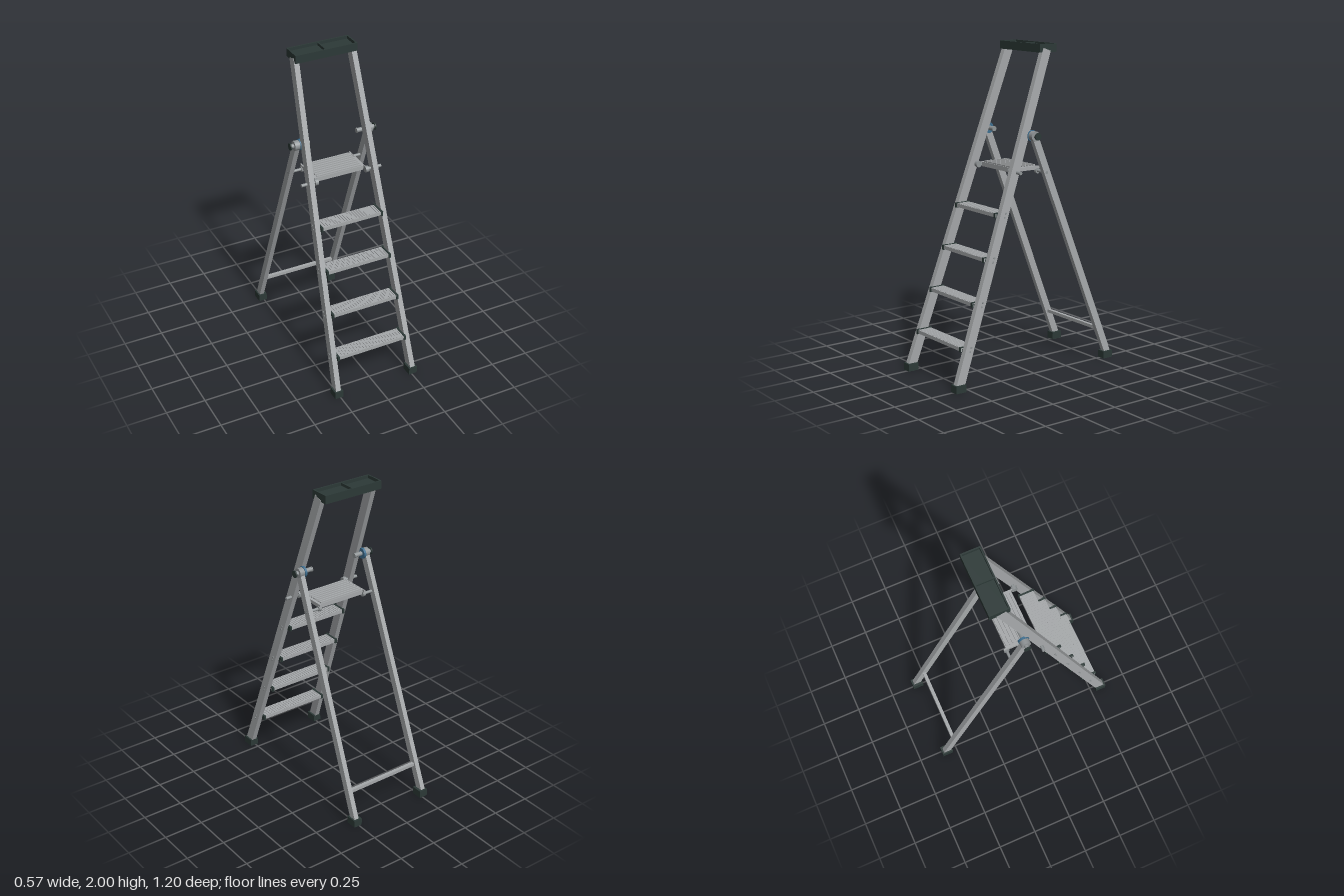
import * as THREE from 'three';

const mat = (name, color) => {
  const m = new THREE.MeshStandardMaterial({ color });
  m.name = name;
  return m;
};

export function createModel() {
  const root = new THREE.Group();
  root.name = 'stepLadder';
  const aluminium = mat('aluminium', 0xa6a9ab);
  const plastic = mat('darkPlastic', 0x2c3937);
  const blue = mat('blueWasher', 0x3f6f90);
  const steel = mat('steel', 0x8f9496);

  const add = (name, geo, m, x = 0, y = 0, z = 0, parent = root) => {
    const mesh = new THREE.Mesh(geo, m);
    mesh.name = name;
    mesh.position.set(x, y, z);
    parent.add(mesh);
    return mesh;
  };
  const box = (name, w, h, d, m, x, y, z, parent) =>
    add(name, new THREE.BoxGeometry(w, h, d), m, x, y, z, parent);

  // Cylinder lying along x between x0 and x1
  const rod = (name, x0, x1, y, z, r, m, parent) => {
    const geo = new THREE.CylinderGeometry(r, r, Math.abs(x1 - x0), 20);
    geo.rotateZ(Math.PI / 2);
    return add(name, geo, m, (x0 + x1) / 2, y, z, parent);
  };

  // Rectangular tube from a to b, its width kept along x
  const beam = (name, a, b, w, d, m) => {
    const A = new THREE.Vector3(...a), B = new THREE.Vector3(...b);
    const up = B.clone().sub(A);
    const mesh = box(name, w, up.length(), d, m, 0, 0, 0);
    up.normalize();
    const zAxis = new THREE.Vector3(1, 0, 0).cross(up).normalize();
    const xAxis = up.clone().cross(zAxis);
    mesh.quaternion.setFromRotationMatrix(new THREE.Matrix4().makeBasis(xAxis, up, zAxis));
    mesh.position.copy(A).add(B).multiplyScalar(0.5);
    return mesh;
  };

  // Centre line of the front rails
  const railX = y => 0.261 - 0.0385 * y;
  const railZ = y => 0.576 - 0.3575 * y;

  for (const s of [1, -1]) {
    const side = s > 0 ? 'left' : 'right';

    // Rails, rear legs and feet
    beam(side + 'FrontRail', [s * railX(0.025), 0.025, railZ(0.025)],
      [s * railX(1.967), 1.967, railZ(1.967)], 0.033, 0.058, aluminium);
    beam(side + 'RearLeg', [s * 0.262, 0.025, -0.573], [s * 0.241, 1.475, 0.005], 0.03, 0.045, aluminium);
    for (const z of [0.565, -0.565])
      box(side + 'Foot', 0.055, 0.046, 0.07, plastic, s * 0.2585, 0.023, z);

    // Hinge
    const hinge = new THREE.Group();
    hinge.name = side + 'Hinge';
    root.add(hinge);
    const hy = 1.465, hz = 0;
    rod('hingePin', s * 0.157, s * 0.28, hy, hz, 0.014, steel, hinge);
    rod('hingeInnerCap', s * 0.157, s * 0.163, hy, hz, 0.016, steel, hinge);
    rod('hingeWasher', s * 0.212, s * 0.226, hy, hz, 0.034, blue, hinge);
    rod('hingeSleeve', s * 0.226, s * 0.258, hy, hz, 0.03, steel, hinge);
    rod('hingeKnob', s * 0.276, s * 0.284, hy, hz, 0.022, plastic, hinge);

    // Platform side bars and their pins
    box(side + 'PlatformBar', 0.008, 0.022, 0.215, aluminium, s * 0.165, 1.258, 0.008);
    rod(side + 'PlatformFrontPin', s * 0.165, s * 0.266, 1.255, 0.115, 0.01, steel);
    rod(side + 'PlatformFrontBush', s * 0.158, s * 0.18, 1.255, 0.115, 0.02, steel);
    rod(side + 'PlatformRearPin', s * 0.165, s * 0.26, 1.24, -0.083, 0.009, steel);
    rod(side + 'PlatformRearBush', s * 0.156, s * 0.174, 1.24, -0.083, 0.017, steel);
  }

  // Platform with ribs along its length
  const platform = new THREE.Group();
  platform.name = 'platform';
  root.add(platform);
  box('platformPlate', 0.33, 0.008, 0.175, aluminium, 0, 1.264, 0.003, platform);
  for (let i = 0; i < 8; i++)
    box('platformRib', 0.3, 0.01, 0.012, aluminium, 0, 1.271, -0.074 + i * 0.022, platform);
  for (const z of [-0.082, 0.088])
    box('platformLip', 0.32, 0.028, 0.006, aluminium, 0, 1.254, z, platform);

  // Steps: ribbed channel treads with plastic end caps
  for (const y of [1.01, 0.755, 0.5, 0.245]) {
    const step = new THREE.Group();
    step.name = 'step';
    step.position.set(0, y, railZ(y) - 0.004);
    root.add(step);
    const half = railX(y) - 0.014;
    box('tread', half * 2, 0.007, 0.094, aluminium, 0, 0.007, 0, step);
    for (const z of [-0.044, 0.044])
      box('treadLip', half * 2, 0.022, 0.006, aluminium, 0, 0, z, step);
    const n = 24;
    for (let i = 0; i < n; i++)
      box('treadRib', 0.008, 0.003, 0.086, aluminium,
        (i / (n - 1) - 0.5) * (half * 2 - 0.04), 0.0115, 0, step);
    for (const s of [1, -1]) {
      box('endCap', 0.014, 0.03, 0.104, plastic, s * (half - 0.007), 0, 0, step);
      for (const dy of [0.012, -0.012])
        rod('rivet', s * (half + 0.025), s * (half + 0.034), dy, -0.3575 * dy, 0.006, steel, step);
    }
  }

  // Rear cross brace
  box('rearBrace', 0.49, 0.02, 0.022, aluminium, 0, 0.2, -0.505);

  // Top tray with rim and divider
  const tray = new THREE.Group();
  tray.name = 'topTray';
  tray.position.set(0, 1.95, -0.137);
  root.add(tray);
  box('trayBase', 0.4, 0.031, 0.124, plastic, 0, 0.0155, 0, tray);
  for (const s of [1, -1]) {
    box('trayEnd', 0.009, 0.019, 0.124, plastic, s * 0.1955, 0.0405, 0, tray);
    box('traySide', 0.382, 0.019, 0.009, plastic, 0, 0.0405, s * 0.0575, tray);
  }
  box('trayDivider', 0.009, 0.016, 0.106, plastic, 0, 0.039, 0, tray);

  return root;
}
